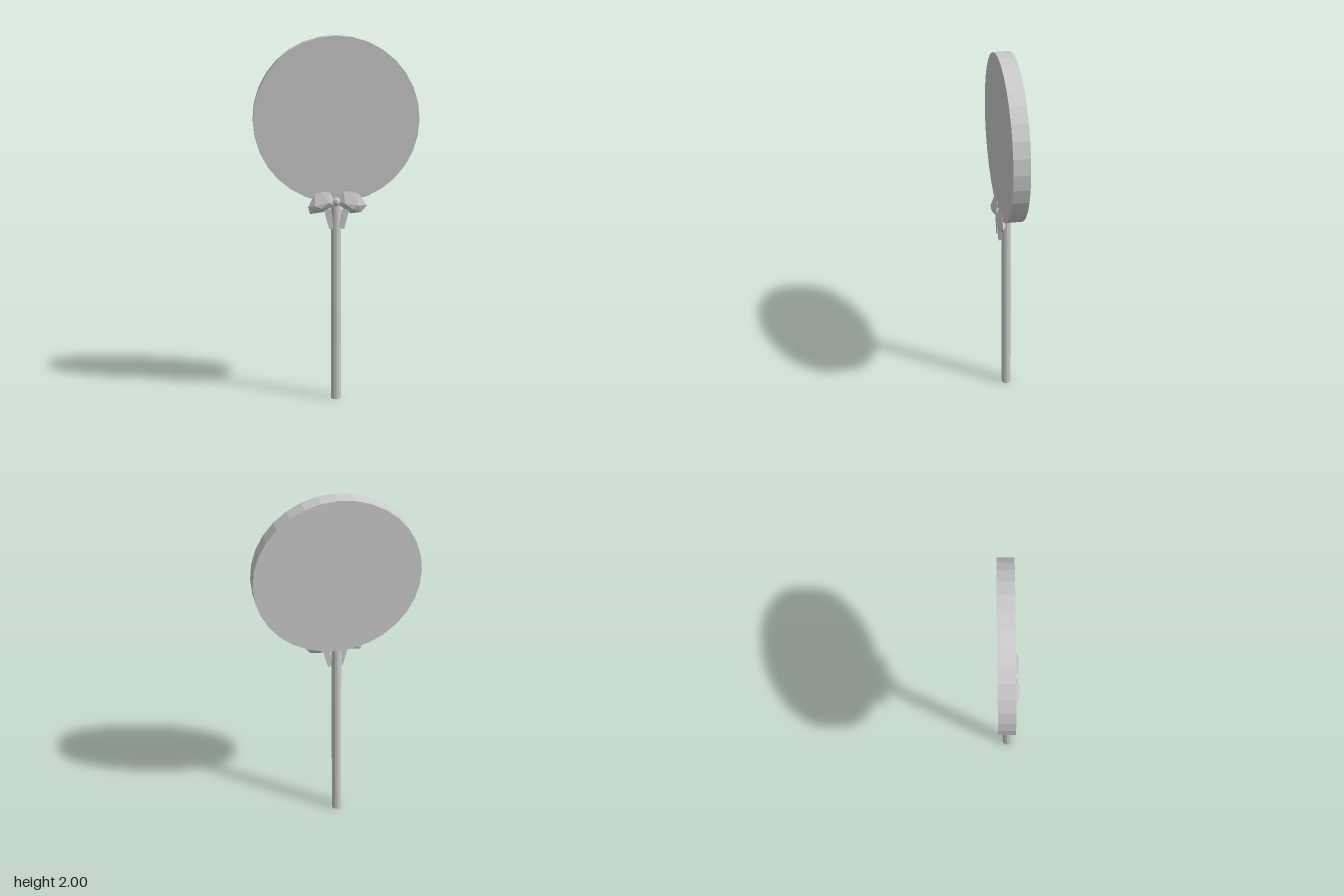
import * as THREE from 'three';
import { ConvexGeometry } from 'three/addons/geometries/ConvexGeometry.js';

export function createModel() {
  const model = new THREE.Group();
  const gray = new THREE.MeshStandardMaterial({ color: 0xcccccc, flatShading: true });
  gray.name = 'light gray';

  const add = (name, geometry, x = 0, y = 0, z = 0) => {
    const mesh = new THREE.Mesh(geometry, gray);
    mesh.name = name;
    mesh.position.set(x, y, z);
    model.add(mesh);
    return mesh;
  };

  // Round candy disc, facing front
  const disc = new THREE.CylinderGeometry(0.443, 0.443, 0.088, 32).rotateX(Math.PI / 2);
  add('candyDisc', disc, 0, 1.557, -0.012);

  // Stick, its top sunk into the disc
  add('stick', new THREE.CylinderGeometry(0.027, 0.027, 1.15, 12), 0, 0.575, -0.01);

  // Faceted bow loops: outline at mid depth, smaller ridges in front and behind
  const loop = (name, outline, front) => {
    const points = outline.map(([x, y]) => new THREE.Vector3(x, y, 0.034));
    for (const [x, y] of front) {
      points.push(new THREE.Vector3(x, y, 0.056), new THREE.Vector3(x, y, 0.014));
    }
    add(name, new ConvexGeometry(points));
  };
  loop('leftBowLoop',
    [[0.012, 1.1], [0.012, 1.125], [0.037, 1.172], [0.085, 1.172], [0.117, 1.16], [0.164, 1.097], [0.132, 1.06], [0.075, 1.053]],
    [[0.045, 1.108], [0.115, 1.1], [0.085, 1.08]]);
  loop('rightBowLoop',
    [[-0.012, 1.1], [-0.012, 1.125], [-0.04, 1.172], [-0.085, 1.172], [-0.117, 1.163], [-0.154, 1.09], [-0.143, 1.053], [-0.07, 1.063]],
    [[-0.045, 1.115], [-0.118, 1.098], [-0.085, 1.085]]);

  // Knot
  add('bowKnot', new THREE.SphereGeometry(0.024, 8, 6), 0, 1.118, 0.03);

  // Ribbon tails, closing in toward the stick
  for (const side of [-1, 1]) {
    const shape = new THREE.Shape([
      [0.03, 1.08], [0.017, 0.975], [0.04, 0.968], [0.068, 1.075],
    ].map(([x, y]) => new THREE.Vector2(side * x, y)));
    const tail = new THREE.ExtrudeGeometry(shape, { depth: 0.02, bevelEnabled: false });
    add(side > 0 ? 'leftBowTail' : 'rightBowTail', tail, 0, 0, 0.018);
  }

  return model;
}
